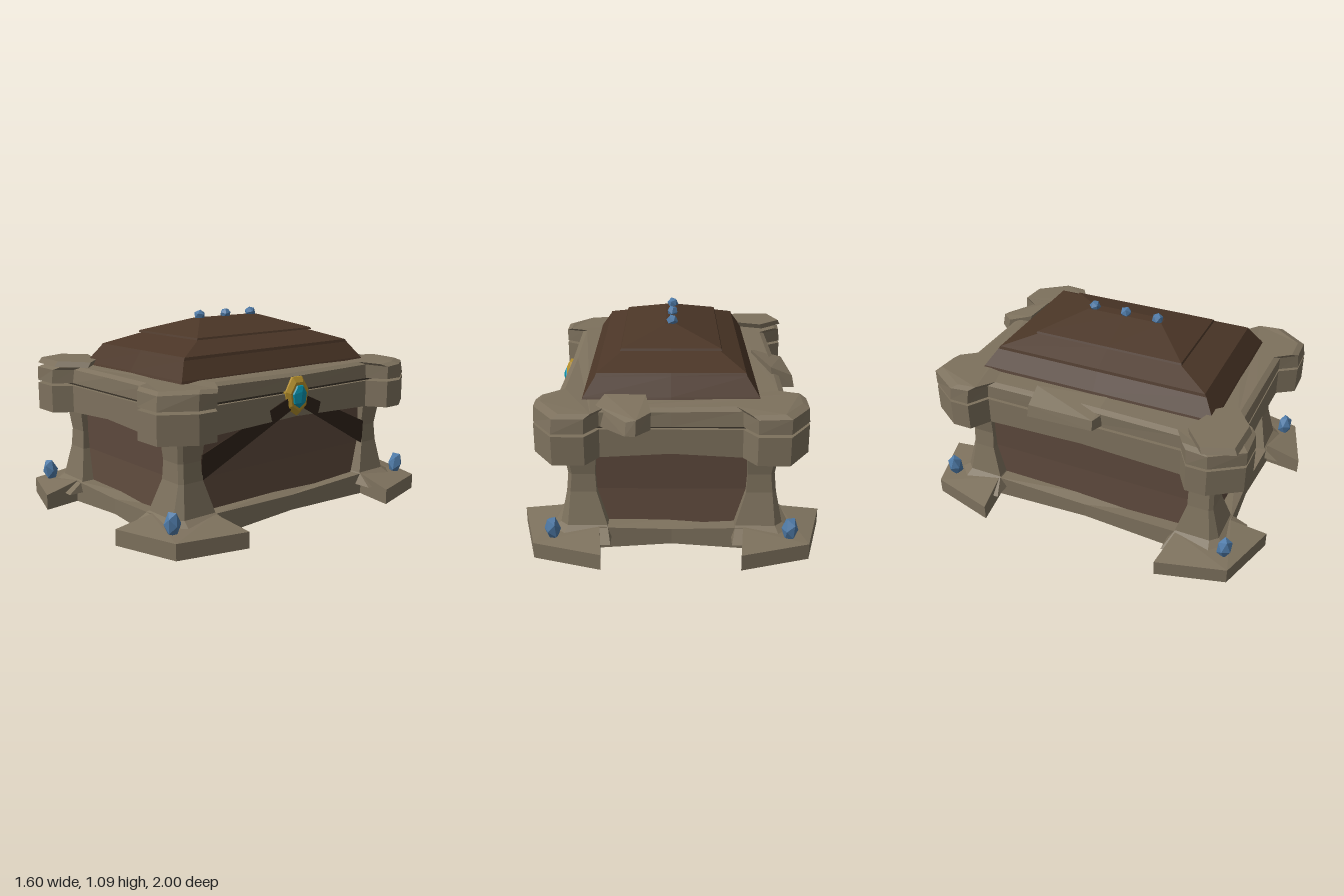
import * as THREE from 'three';
import { ConvexGeometry } from 'three/addons/geometries/ConvexGeometry.js';

const mat = (color, side = THREE.FrontSide) =>
  new THREE.MeshStandardMaterial({ color, flatShading: true, side });
const V = (x, y, z) => new THREE.Vector3(x, y, z);

// Solid through horizontal rings of [x, y, z], counter-clockwise from above, bottom to top
function loft(rings) {
  const n = rings[0].length, pos = [];
  const tri = (a, b, c) => pos.push(...a, ...b, ...c);
  for (let k = 0; k + 1 < rings.length; k++) {
    const a = rings[k], b = rings[k + 1];
    for (let i = 0; i < n; i++) {
      const j = (i + 1) % n;
      tri(a[i], a[j], b[j]);
      tri(a[i], b[j], b[i]);
    }
  }
  const cap = (ring, up) => {
    const pts = ring.map(p => new THREE.Vector2(p[0], -p[2]));
    for (const [i, j, k] of THREE.ShapeUtils.triangulateShape(pts, [])) {
      const ccw = THREE.ShapeUtils.area([pts[i], pts[j], pts[k]]) > 0;
      if (ccw === up) tri(ring[i], ring[j], ring[k]);
      else tri(ring[i], ring[k], ring[j]);
    }
  };
  cap(rings[0], false);
  cap(rings[rings.length - 1], true);
  const g = new THREE.BufferGeometry();
  g.setAttribute('position', new THREE.Float32BufferAttribute(pos, 3));
  g.computeVertexNormals();
  return g;
}

// Mirrors a quarter outline of [x, z, y], running from the +z axis to the +x axis
function fullRing(q) {
  const ring = q.map(([x, z, y]) => [x, y, z]);
  const half = [...ring, ...ring.slice(0, -1).reverse().map(([x, y, z]) => [x, y, -z])];
  return [...half, ...half.slice(1, -1).reverse().map(([x, y, z]) => [-x, y, z])];
}

const rect = (x, z, y) => fullRing([[0, z, y], [x, z, y], [x, 0, y]]);

// Rim with chamfered corner blocks; the middles of the sides sit at their own height
const rimRing = (y, yMid, inset = 0) => fullRing([
  [0, 0.81, yMid], [0.355, 0.81, y], [0.42, 0.905, y], [0.58, 0.905, y],
  [0.69, 0.74, y], [0.69, 0.63, y], [0.585, 0.565, y], [0.585, 0, yMid],
].map(([x, z, h]) => [x && x - inset, z && z - inset, h]));

export function createModel() {
  const group = new THREE.Group();
  const stone = mat(0x7d715d), darkStone = mat(0x3c352b), panelWood = mat(0x5e4a3d);
  const lidWood = mat(0x4b3627), strapMat = mat(0x30241b, THREE.DoubleSide);
  const blue = mat(0x4f7ba8), gold = mat(0xb48f2c), teal = mat(0x0590ab);
  const add = (name, geometry, material) => {
    const m = new THREE.Mesh(geometry, material);
    m.name = name;
    group.add(m);
    return m;
  };

  // Base plate with four spreading feet
  const base = (mid, inner, outer) => fullRing([
    [0, 0.78, mid], [0.37, 0.8, inner], [0.35, 1, outer], [0.7, 0.89, outer],
    [0.8, 0.52, outer], [0.58, 0.555, inner], [0.565, 0, mid],
  ]);
  add('base', loft([base(0.02, 0.005, 0), base(0.105, 0.125, 0.085)]), stone);

  // Chest body
  add('bodyPanels', loft([rect(0.51, 0.72, 0.06), rect(0.5, 0.7, 0.3), rect(0.51, 0.71, 0.58)]), panelWood);

  // Flared corner posts: y, x from/to, z from/to, chamfer
  const levels = [
    [0.07, 0.31, 0.68, 0.51, 0.88, 0.11],
    [0.13, 0.33, 0.575, 0.55, 0.785, 0.04],
    [0.3, 0.385, 0.54, 0.6, 0.74, 0.02],
    [0.4, 0.39, 0.53, 0.6, 0.735, 0.02],
    [0.57, 0.38, 0.555, 0.59, 0.755, 0.02],
  ];
  for (const sx of [1, -1]) for (const sz of [1, -1]) {
    const rings = levels.map(([y, x0, x1, z0, z1, c]) => {
      const r = [[x0, z0], [x0, z1], [x1 - c, z1], [x1, z1 - c], [x1, z0]]
        .map(([x, z]) => [x * sx, y, z * sz]);
      return sx * sz < 0 ? r.reverse() : r;
    });
    add('cornerPost', loft(rings), stone);

    // Crystal standing on each foot
    const crystal = add('footCrystal', new THREE.IcosahedronGeometry(1, 0), blue);
    crystal.scale.set(0.042, 0.07, 0.045);
    crystal.position.set(0.605 * sx, 0.145, 0.84 * sz);
    crystal.rotation.set(0.08 * sz, 0.5, -0.08 * sx);
  }

  // Lower rim, recessed seam and upper rim
  add('lowerRim', loft([rimRing(0.53, 0.55), rimRing(0.68, 0.68)]), stone);
  add('seam', loft([rect(0.565, 0.79, 0.66), rect(0.565, 0.79, 0.71)]), darkStone);
  const worn = (ring, amount) => ring.map(([x, y, z], i) => {
    const s = 1 - amount * (0.5 + 0.5 * Math.sin(i * 4.7));
    return [x * s, y - 0.4 * amount * (1 + Math.sin(i * 2.9)), z * s];
  });
  add('upperRim', loft([
    rimRing(0.695, 0.695),
    worn(rimRing(0.775, 0.775), 0.012),
    worn(rimRing(0.79, 0.79, 0.03), 0.012),
  ]), stone);

  // Broken slabs of the upper rim
  const slab = (pts, y0, y1) => add('brokenSlab', new ConvexGeometry(
    pts.flatMap(([x, z, top = y1]) => [V(x, y0, z), V(x * 0.98, top, z * 0.98)])), stone);
  slab([[-0.7, 0.71], [-0.64, 0.87], [-0.43, 0.88], [-0.27, 0.76], [-0.36, 0.67], [-0.57, 0.6]], 0.785, 0.815);
  slab([[0.17, -0.93, 0.77], [0.1, -0.85, 0.78], [0.13, -0.71, 0.82], [0.34, -0.7, 0.82],
    [0.38, -0.78, 0.79], [0.22, -0.93, 0.76]], 0.695, 0.8);
  slab([[-0.67, -0.27, 0.77], [-0.55, -0.28, 0.82], [-0.47, 0.1, 0.8], [-0.5, 0.16, 0.78],
    [-0.65, 0.1, 0.76]], 0.705, 0.8);

  // Stepped hipped lid with a thin lip on each tier
  const lid = add('lid', loft([
    rect(0.46, 0.69, 0.76), rect(0.445, 0.67, 0.795), rect(0.385, 0.61, 0.885), rect(0.38, 0.6, 0.9),
    rect(0.25, 0.41, 0.963), rect(0.267, 0.43, 0.963), rect(0.262, 0.425, 0.973),
    rect(0.03, 0.22, 1.047),
  ]), lidWood);
  lid.position.x = 0.008;
  lid.rotation.y = 0.01;

  // Crystals along the ridge
  for (const z of [-0.19, 0, 0.19]) {
    const c = add('ridgeCrystal', new THREE.IcosahedronGeometry(0.033, 0), blue);
    c.position.set(0, 1.06, z);
    c.rotation.set(0.3, z * 4, 0.2);
  }

  // Straps from the medallion down to the left side posts
  for (const s of [1, -1]) {
    const pts = [];
    for (const d of [0, 0.008]) {
      pts.push(V(0.528 + d, 0.295, 0.605 * s), V(0.533 + d, 0.43, 0.605 * s),
        V(0.59 + d, 0.59, 0.05 * s), V(0.592 + d, 0.665, 0.05 * s));
    }
    add('strap', new ConvexGeometry(pts), strapMat);
  }

  // Medallion: faceted gold plate with a raised gem
  const outline = [[0, 0.555], [0.07, 0.6], [0.085, 0.69], [0.035, 0.765],
    [-0.035, 0.765], [-0.085, 0.69], [-0.07, 0.6]];
  const plate = (x, s) => outline.map(([z, y]) => V(x, 0.66 + (y - 0.66) * s, z * s));
  add('medallion', new ConvexGeometry([...plate(0.575, 1), ...plate(0.592, 1), ...plate(0.61, 0.74)]), gold);
  add('medallionGem', new ConvexGeometry([
    ...plate(0.6, 0.64), ...plate(0.618, 0.55), V(0.632, 0.69, 0), V(0.632, 0.63, 0.008),
  ]), teal);

  return group;
}
